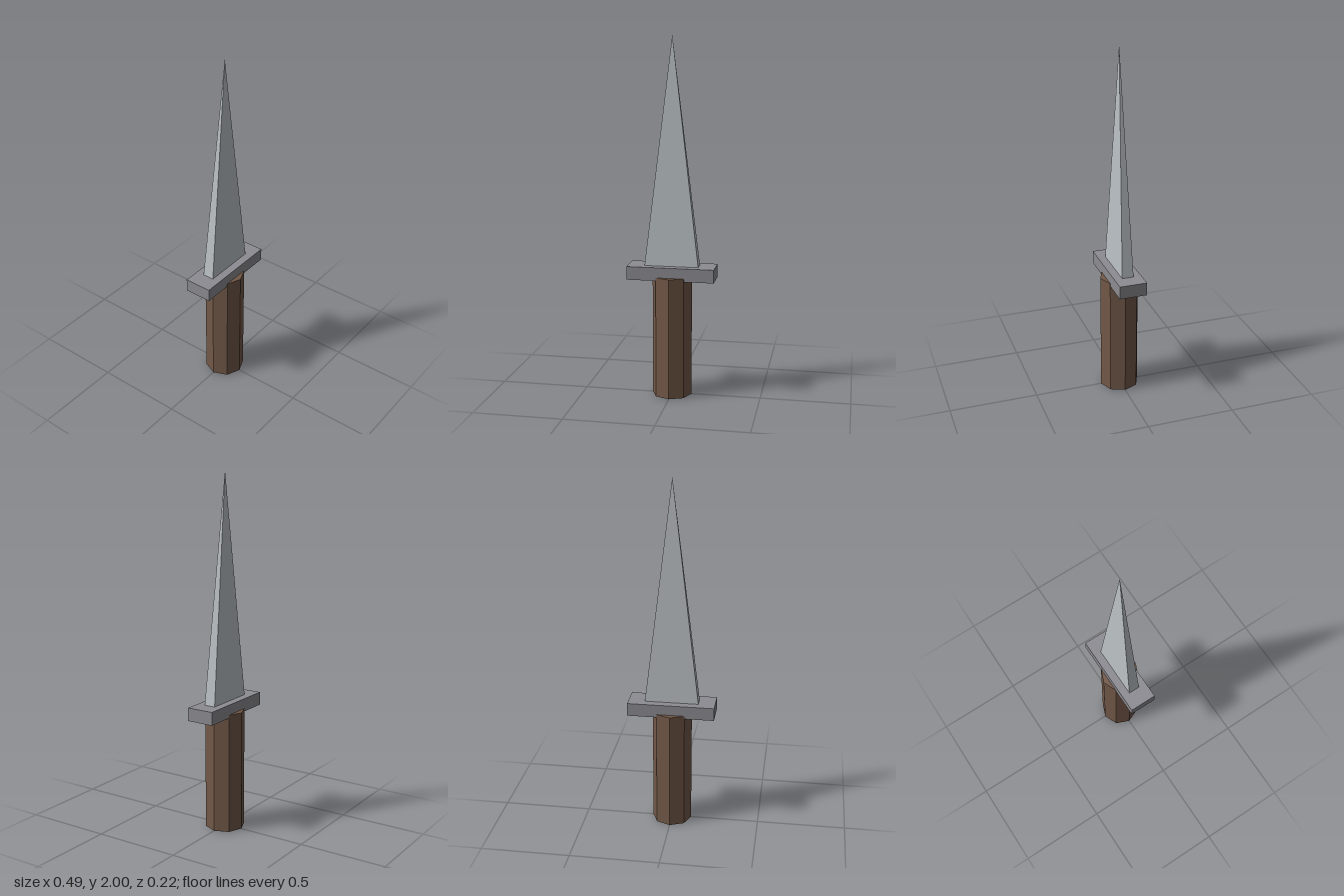
import * as THREE from 'three';

const flat = (name, color) => {
  const m = new THREE.MeshStandardMaterial({ color, flatShading: true });
  m.name = name;
  return m;
};

export function createModel() {
  const wood = flat('brown wood', 0x725848);
  const iron = flat('grey iron', 0x8c8c92);
  const steel = flat('pale steel', 0xbcc2c6);

  const dagger = new THREE.Group();
  dagger.name = 'dagger';
  const add = (name, geometry, material, y) => {
    const mesh = new THREE.Mesh(geometry, material);
    mesh.name = name;
    mesh.position.y = y;
    dagger.add(mesh);
  };

  // Octagonal grip, reaching slightly into the guard
  add('handle', new THREE.CylinderGeometry(0.111, 0.111, 0.685, 8), wood, 0.3425);

  // Flat crossguard
  add('guard', new THREE.BoxGeometry(0.487, 0.074, 0.156), iron, 0.705);

  // Four-sided blade: a unit-square pyramid squashed in depth
  const blade = new THREE.ConeGeometry(Math.SQRT1_2, 1.27, 4);
  blade.rotateY(Math.PI / 4);
  blade.scale(0.304, 1, 0.066);
  add('blade', blade, steel, 2 - 1.27 / 2);

  return dagger;
}
